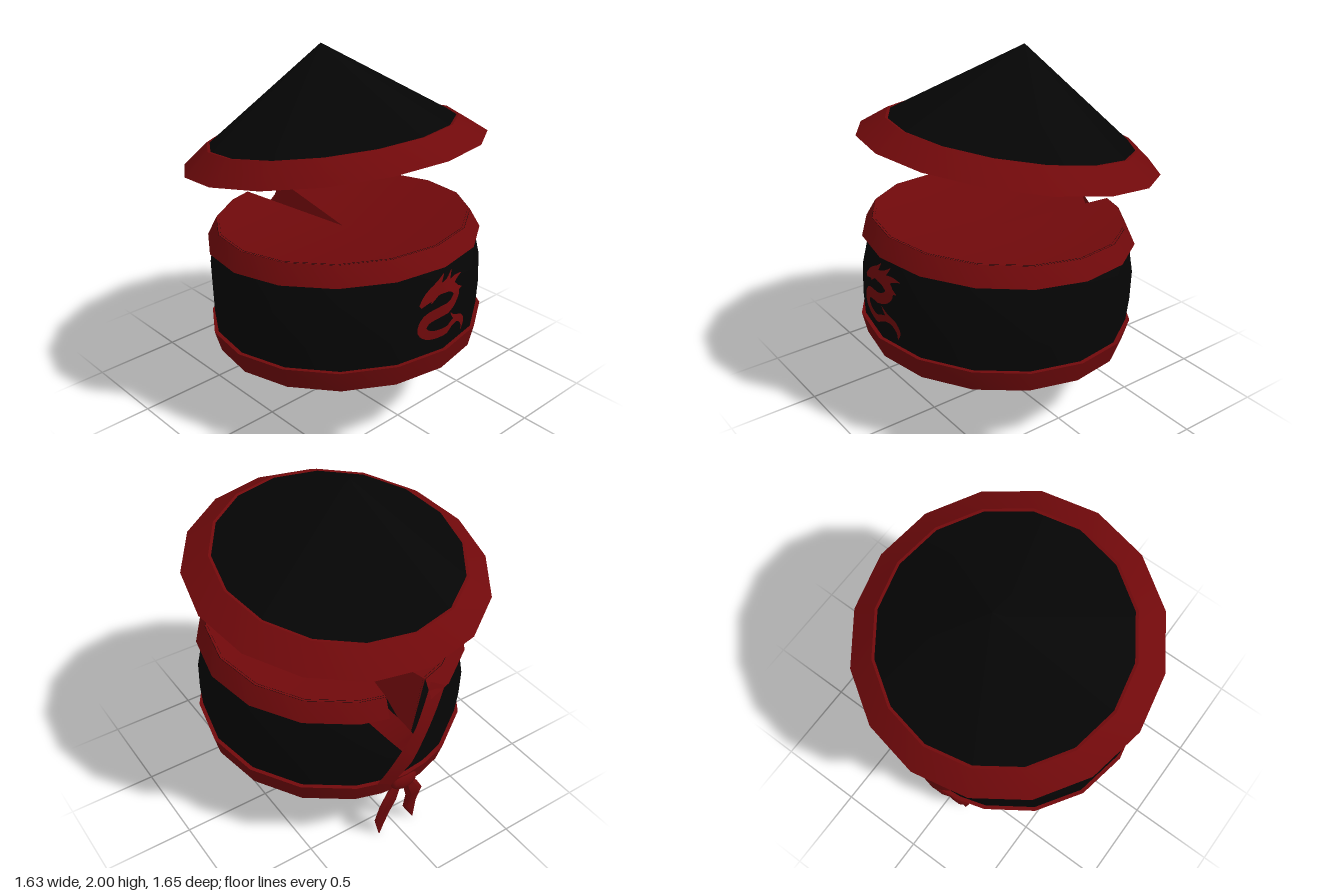
import * as THREE from 'three';
import { toCreasedNormals } from 'three/addons/utils/BufferGeometryUtils.js';

const red = new THREE.MeshStandardMaterial({ color: 0x70090b, side: THREE.DoubleSide });
red.name = 'dark red cloth';
const black = new THREE.MeshStandardMaterial({ color: 0x050505 });
black.name = 'black cloth';

function addMesh(parent, name, geometry, material) {
  const mesh = new THREE.Mesh(geometry, material);
  mesh.name = name;
  parent.add(mesh);
  return mesh;
}

// Surface from rows of points; rows may close on themselves
function loft(rows, closed) {
  const n = rows[0].length, index = [];
  for (let i = 0; i < rows.length - 1; i++) {
    for (let j = 0; j < (closed ? n : n - 1); j++) {
      const a = i * n + j, b = i * n + (j + 1) % n;
      index.push(a, b, a + n, b, b + n, a + n);
    }
  }
  const g = new THREE.BufferGeometry();
  g.setAttribute('position', new THREE.Float32BufferAttribute(rows.flat(2), 3));
  g.setIndex(index);
  return toCreasedNormals(g, 0.6);
}

// Slightly slanted 16-sided drum, with a notch at the back
const openAngles = [-Math.PI + 0.18];
for (let i = -7; i <= 7; i++) openAngles.push(i * Math.PI / 8);
openAngles.push(Math.PI - 0.18);
const allAngles = [...openAngles, Math.PI];
const TOP = 0.685, NOTCH = 0.386;

function drumPoint(angle, r, h) {
  const c = r * Math.cos(angle);
  return [r * Math.sin(angle), 0.405 + h + 0.073 * c, 0.07 - 0.045 * h + c];
}
function wallRadius(h) {
  if (h < 0.42) return 0.725 + 0.02 * Math.min(1, h / 0.25);
  return 0.745 - 0.035 * (h - 0.42) / 0.18;
}
const drum = (angles, profile) => profile.map(([r, h]) => angles.map(a => drumPoint(a, r, h)));
const topAt = a => (a === Math.PI ? NOTCH : TOP);

// Flat strip along a curve of [x, y, width], laid on the depth zOf(x, y)
function ribbon(pts, zOf, steps) {
  const curve = new THREE.CatmullRomCurve3(pts.map(p => new THREE.Vector3(...p)));
  const sides = [[], []];
  for (let i = 0; i <= steps; i++) {
    const p = curve.getPoint(i / steps), t = curve.getTangent(i / steps);
    const len = Math.hypot(t.x, t.y) || 1;
    [1, -1].forEach((s, k) => {
      const x = p.x - s * t.y / len * p.z / 2, y = p.y + s * t.x / len * p.z / 2;
      sides[k].push([x, y, zOf(x, y)]);
    });
  }
  return loft([sides[1], sides[0]], false);
}

function buildHat() {
  const hat = new THREE.Group();
  hat.name = 'conicalHat';
  const cone = new THREE.ConeGeometry(0.81, 0.557, 16);
  cone.translate(0, 0.2785, 0);
  addMesh(hat, 'hatCone', cone, black);
  const profile = [[0.805, 0], [0.815, 0], [0.676, 0.106], [0.661, 0.104]];
  const brim = new THREE.LatheGeometry(profile.map(p => new THREE.Vector2(...p)), 16);
  addMesh(hat, 'hatBrimBand', toCreasedNormals(brim, 0.6), red);
  hat.position.set(0, 1.4525, -0.025);
  hat.rotation.x = -0.184;
  return hat;
}

function buildWrap() {
  const wrap = new THREE.Group();
  wrap.name = 'faceWrap';
  const wall = [0.02, 0.25, 0.42, 0.6, TOP].map(h => allAngles.map(a => {
    const y = Math.min(h, topAt(a));
    return drumPoint(a, Math.min(wallRadius(y), 0.745 - 0.8 * Math.max(0, y - 0.6)), y);
  }));
  addMesh(wrap, 'wrapWall', loft(wall, true), black);

  // Slightly sunken lid that folds down into the notch
  const lid = [
    allAngles.map(a => drumPoint(a, a === Math.PI ? 0.745 : 0.69, topAt(a))),
    allAngles.map(a => drumPoint(a, 0, 0.61)),
  ];
  addMesh(wrap, 'wrapLid', loft(lid, true), red);
  addMesh(wrap, 'topTrim',
    loft(drum(openAngles, [[0.71, 0.585], [0.745, 0.585], [0.692, TOP]]), false), red);
  addMesh(wrap, 'bottomTrim',
    loft(drum(allAngles, [[0, 0], [0.725, 0], [0.757, 0.12], [0.72, 0.12]]), true), red);
  return wrap;
}

function buildTie() {
  const tie = new THREE.Group();
  tie.name = 'backTie';
  // Outer strap runs down to the knot; inner strap is tucked under it
  const strapDepth = d => (x, y) => d + 0.2 * Math.abs(x) + 0.5 * (y - 0.7) ** 2;
  addMesh(tie, 'outerStrap', ribbon(
    [[-0.2, 0.985, 0.12], [0, 0.7, 0.115], [0.14, 0.46, 0.1]], strapDepth(-0.735), 12), red);
  addMesh(tie, 'innerStrap', ribbon(
    [[0.2, 0.985, 0.12], [0.1, 0.84, 0.115], [0, 0.69, 0.1]], strapDepth(-0.722), 12), red);

  const knot = addMesh(tie, 'knot', new THREE.SphereGeometry(1, 10, 7), red);
  knot.scale.set(0.085, 0.062, 0.037);
  knot.position.set(0, 0.41, -0.665);

  // Pointed tails: [x, y, z, half width, half thickness]
  const sections = [
    [0.118, 0.0, -0.62, 0.003, 0.003], [0.098, 0.11, -0.61, 0.047, 0.016],
    [0.09, 0.25, -0.65, 0.057, 0.02], [0.058, 0.33, -0.652, 0.046, 0.02],
    [0.02, 0.4, -0.66, 0.02, 0.014],
  ];
  for (const s of [1, -1]) {
    const rows = sections.map(([x, y, z, w, d]) => [0, 1, 2, 3, 4, 5].map(k => {
      const a = k * Math.PI / 3 + Math.PI / 2;
      return [s * x + w * Math.sin(a), y, z + d * Math.cos(a)];
    }));
    addMesh(tie, s > 0 ? 'leftTail' : 'rightTail', loft(rows, true), red);
  }
  return tie;
}

// Painted serpent: tapered strips that follow the front of the wall
function buildSerpent() {
  const serpent = new THREE.Group();
  serpent.name = 'serpentDecoration';
  const zOf = (x, y) => {
    const h = y - 0.459;
    return 0.07 - 0.045 * h + wallRadius(h) - 0.199 * Math.abs(x) + 0.018;
  };
  const strips = {
    body: [[-0.09, 0.92, 0.05], [-0.03, 0.935, 0.05], [0.04, 0.925, 0.05], [0.09, 0.88, 0.055],
      [0.05, 0.835, 0.06], [-0.04, 0.815, 0.06], [-0.13, 0.79, 0.06], [-0.155, 0.74, 0.055],
      [-0.11, 0.7, 0.05], [-0.02, 0.695, 0.045], [0.05, 0.72, 0.035], [0.11, 0.72, 0.04],
      [0.15, 0.68, 0.035], [0.145, 0.63, 0.002]],
    snout: [[-0.07, 0.93, 0.065], [-0.12, 0.905, 0.05], [-0.165, 0.875, 0.02]],
    jaw: [[-0.07, 0.91, 0.03], [-0.1, 0.875, 0.002]],
    hornFront: [[-0.08, 0.94, 0.035], [-0.04, 0.965, 0.03], [0.0, 1.01, 0.002]],
    hornBack: [[-0.02, 0.945, 0.04], [0.03, 0.965, 0.03], [0.07, 1.005, 0.002]],
    maneUpper: [[0.04, 0.935, 0.05], [0.09, 0.95, 0.03], [0.15, 0.955, 0.002]],
    maneLower: [[0.07, 0.9, 0.05], [0.14, 0.885, 0.002]],
    tailFin: [[0.1, 0.725, 0.035], [0.06, 0.75, 0.02], [0.03, 0.785, 0.002]],
  };
  for (const [name, pts] of Object.entries(strips)) {
    addMesh(serpent, name, ribbon(pts, zOf, name === 'body' ? 48 : 5), red);
  }
  return serpent;
}

export function createModel() {
  const model = new THREE.Group();
  model.name = 'hatAndWrap';
  model.add(buildHat(), buildWrap(), buildTie(), buildSerpent());
  return model;
}
